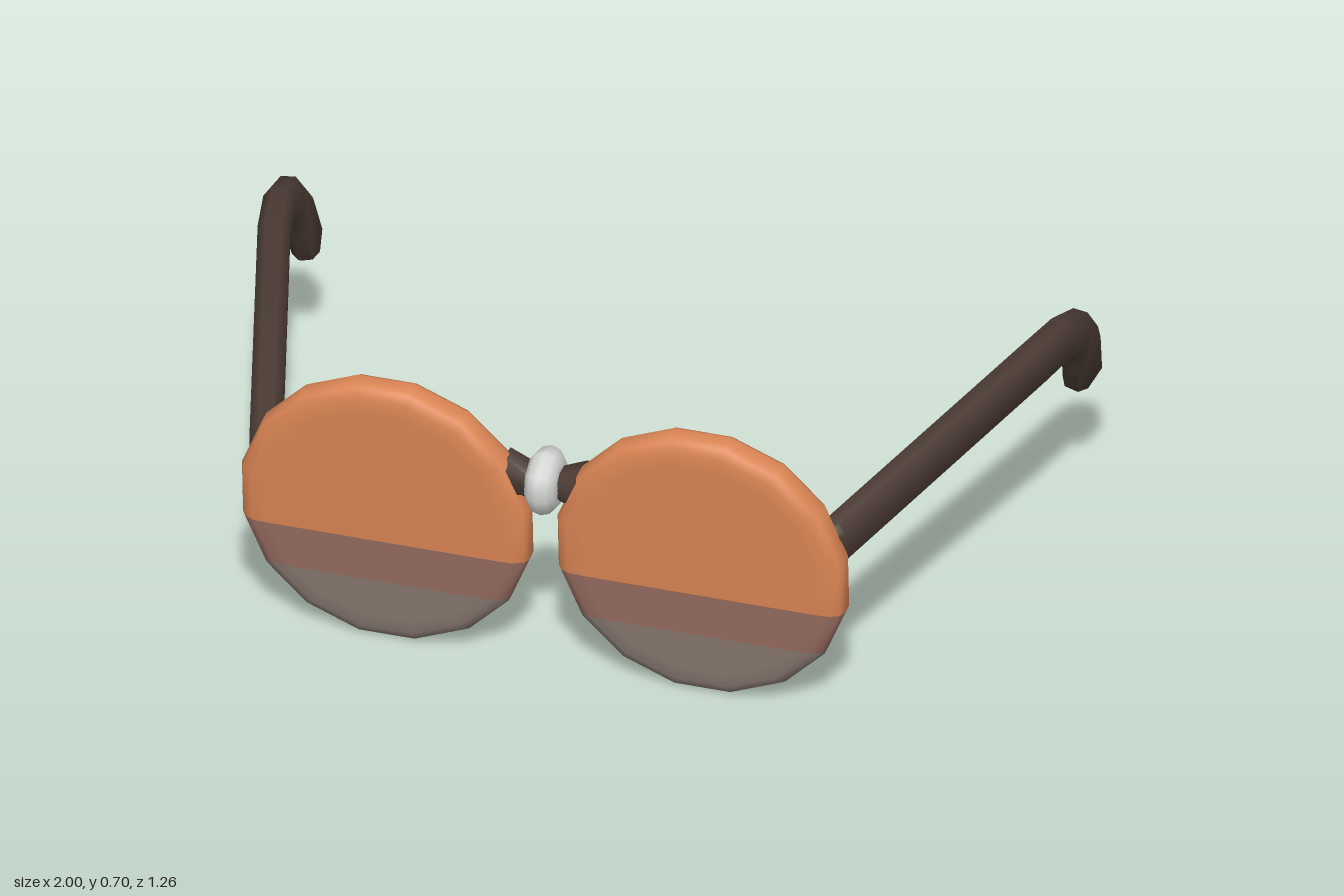
import * as THREE from 'three';
import { toCreasedNormals } from 'three/addons/utils/BufferGeometryUtils.js';

const mat = (name, color) => Object.assign(new THREE.MeshStandardMaterial({ color }), { name });
const V = (x, y, z) => new THREE.Vector3(x, y, z);

// Chamfered tube through points; each section has [width, height]
function loft(points, sizes, outline) {
  const n = outline.length, pos = [];
  const first = points[0], last = points[points.length - 1];
  const run = last.clone().sub(first).setY(0).normalize();
  const rings = points.map((p, i) => {
    const a = points[Math.max(i - 1, 0)], b = points[Math.min(i + 1, points.length - 1)];
    const dirIn = p.clone().sub(a).normalize(), dirOut = b.clone().sub(p).normalize();
    const t = dirIn.add(dirOut).normalize();
    const side = V(run.z, 0, -run.x);
    side.addScaledVector(t, -side.dot(t)).normalize();
    const up = t.clone().cross(side);
    return outline.map(([u, v]) => p.clone()
      .addScaledVector(side, u * sizes[i][0]).addScaledVector(up, v * sizes[i][1]));
  });
  const tri = (...vs) => vs.forEach(v => pos.push(v.x, v.y, v.z));
  for (let i = 0; i < rings.length - 1; i++) {
    for (let j = 0; j < n; j++) {
      const k = (j + 1) % n, a = rings[i], b = rings[i + 1];
      tri(a[j], a[k], b[k]);
      tri(a[j], b[k], b[j]);
    }
  }
  const s = rings[0], e = rings[rings.length - 1];
  for (let j = 1; j < n - 1; j++) {
    tri(s[0], s[j + 1], s[j]);
    tri(e[0], e[j], e[j + 1]);
  }
  const g = new THREE.BufferGeometry();
  g.setAttribute('position', new THREE.Float32BufferAttribute(pos, 3));
  return toCreasedNormals(g, 0.9);
}

// Keep the part of a geometry between two heights, preserving its normals
function band(source, low, high) {
  const g = source.toNonIndexed(), P = g.attributes.position, N = g.attributes.normal;
  const pos = [], nor = [];
  const cut = (poly, y, sign) => poly.flatMap((a, i) => {
    const b = poly[(i + 1) % poly.length];
    const da = (a.p.y - y) * sign, db = (b.p.y - y) * sign, out = da >= 0 ? [a] : [];
    if ((da >= 0) !== (db >= 0)) {
      const t = da / (da - db);
      out.push({ p: a.p.clone().lerp(b.p, t), n: a.n.clone().lerp(b.n, t).normalize() });
    }
    return out;
  });
  for (let i = 0; i < P.count; i += 3) {
    let poly = [0, 1, 2].map(k => ({
      p: V().fromBufferAttribute(P, i + k), n: V().fromBufferAttribute(N, i + k),
    }));
    poly = cut(cut(poly, low, 1), high, -1);
    for (let k = 1; k < poly.length - 1; k++) {
      for (const v of [poly[0], poly[k], poly[k + 1]]) {
        pos.push(...v.p.toArray());
        nor.push(...v.n.toArray());
      }
    }
  }
  const out = new THREE.BufferGeometry();
  out.setAttribute('position', new THREE.Float32BufferAttribute(pos, 3));
  out.setAttribute('normal', new THREE.Float32BufferAttribute(nor, 3));
  return out;
}

const lathe = (pts, sides) =>
  new THREE.LatheGeometry(pts.map(([r, h]) => new THREE.Vector2(r, h)), sides);

export function createModel() {
  const model = new THREE.Group();
  model.name = 'glasses';
  const orange = mat('orange', 0xdc8655);
  const mauve = mat('mauve brown', 0x966c60);
  const grey = mat('warm grey', 0x887970);
  const dark = mat('dark brown', 0x4a3a33);
  const silver = mat('silver', 0xd8d8d6);
  const add = (parent, name, geometry, material) => {
    const m = new THREE.Mesh(geometry, material);
    m.name = name;
    parent.add(m);
  };
  const octagon = [[0.25, -0.5], [0.5, -0.3], [0.5, 0.3], [0.25, 0.5],
    [-0.25, 0.5], [-0.5, 0.3], [-0.5, -0.3], [-0.25, -0.5]];

  // Round tinted lenses, tilted forward at the top and split into colour bands
  const disc = lathe([[0, -0.043], [0.29, -0.043], [0.328, -0.041], [0.349, -0.03], [0.357, -0.015],
    [0.357, 0.015], [0.349, 0.03], [0.328, 0.041], [0.29, 0.043], [0, 0.043]], 16);
  disc.rotateY(Math.PI / 16).rotateX(Math.PI / 2 + 0.065).translate(0, 0.353, 0.554);
  const bands = [['lensTop', 0.278, 1, orange], ['lensMiddle', 0.165, 0.278, mauve],
    ['lensBottom', -1, 0.165, grey]];

  // Temple arms: straight, splayed outward, then hooked down behind the ear
  const path = [[0.689, 0.44, 0.538], [0.694, 0.442, 0.522], [0.925, 0.515, -0.25],
    [0.952, 0.517, -0.37], [0.962, 0.487, -0.465], [0.958, 0.42, -0.53],
    [0.948, 0.315, -0.572], [0.946, 0.302, -0.577]];
  const armSizes = [[0.06, 0.1], [0.076, 0.117], [0.075, 0.113], [0.073, 0.11],
    [0.072, 0.11], [0.07, 0.11], [0.068, 0.11], [0.055, 0.092]];

  for (const s of [1, -1]) {
    const side = s > 0 ? 'left' : 'right';
    const lens = new THREE.Group();
    lens.name = side + 'Lens';
    lens.position.x = s * 0.386;
    for (const [name, low, high, m] of bands) add(lens, name, band(disc, low, high), m);
    model.add(lens);
    const arm = loft(path.map(([x, y, z]) => V(s * x, y, z)), armSizes, octagon);
    add(model, side + 'Temple', arm, dark);
  }

  // Bridge flaring out toward each lens
  const bridge = loft([-0.095, -0.03, 0.03, 0.095].map(x => V(x, 0.493, 0.548)),
    [[0.09, 0.12], [0.065, 0.07], [0.065, 0.07], [0.09, 0.12]], octagon);
  add(model, 'bridge', bridge, dark);

  // Rounded silver bead wrapped around the bridge
  const bead = lathe([[0, -0.036], [0.035, -0.039], [0.058, -0.036], [0.076, -0.022],
    [0.083, 0], [0.076, 0.022], [0.058, 0.036], [0.035, 0.039], [0, 0.036]], 8);
  bead.rotateZ(Math.PI / 2).rotateX(0.2).translate(0, 0.495, 0.55);
  add(model, 'bridgeBead', bead, silver);
  return model;
}
